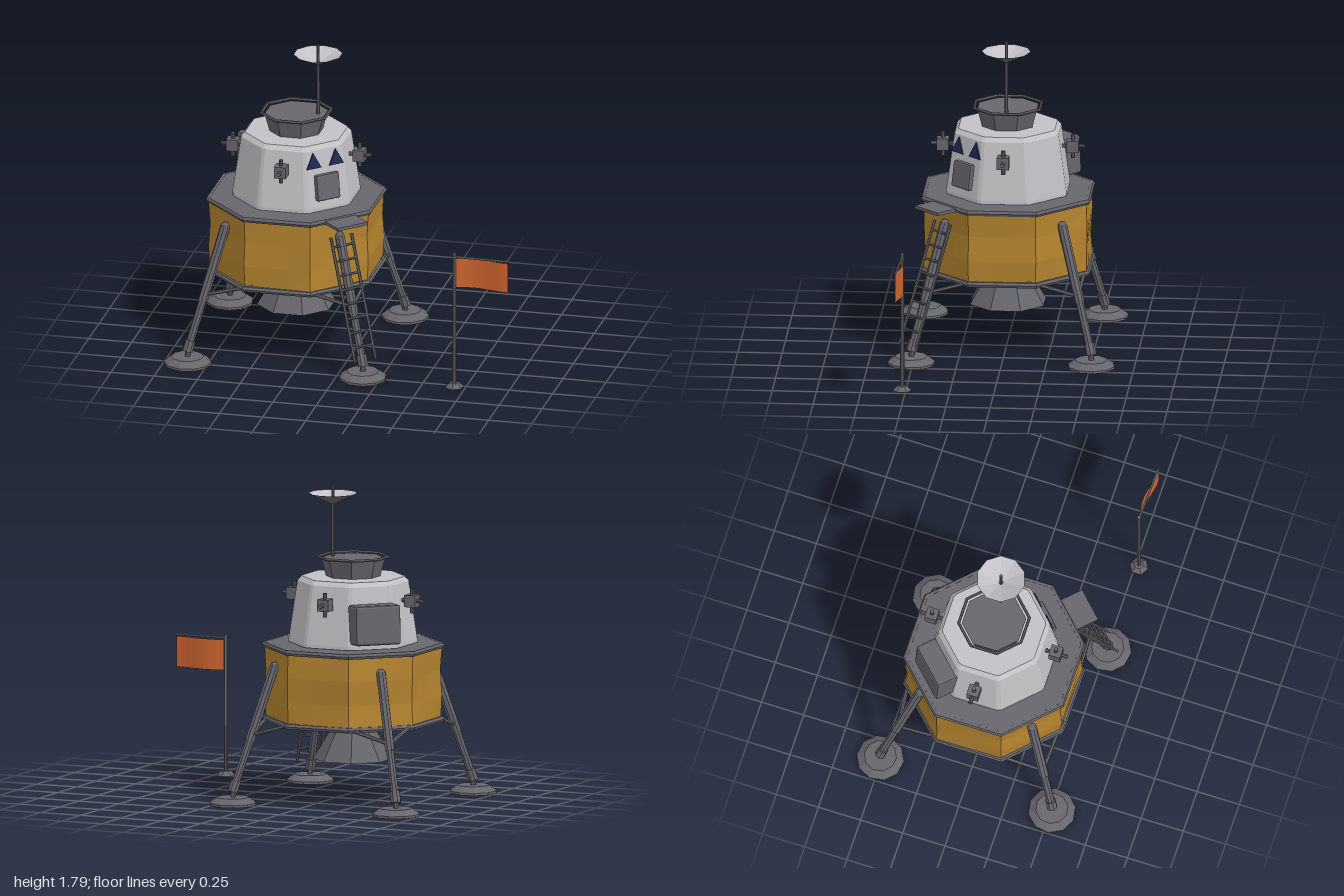
import * as THREE from 'three';
import { RoundedBoxGeometry } from 'three/addons/geometries/RoundedBoxGeometry.js';

const mat = (name, color, side = THREE.FrontSide) => {
  const m = new THREE.MeshStandardMaterial({ color, flatShading: true, side });
  m.name = name;
  return m;
};
const GREY = mat('structure grey', 0x66666d);
const WHITE = mat('cabin light grey', 0xc2c2c6);
const GOLD = mat('gold foil', 0xb5842f);
const NAVY = mat('window navy', 0x1e2a55);
const ORANGE = mat('flag orange', 0xcf6530, THREE.DoubleSide);
const SILVER = mat('pole silver', 0x85888e);
const BELL = mat('engine grey', 0x66666d, THREE.DoubleSide);

const V = (x, y, z) => new THREE.Vector3(x, y, z);
const FLAT = Math.cos(Math.PI / 8); // apothem / radius of an octagon

function add(parent, name, geo, material, x = 0, y = 0, z = 0) {
  const m = new THREE.Mesh(geo, material);
  m.name = name;
  m.position.set(x, y, z);
  parent.add(m);
  return m;
}

// Round bar between two points
function bar(parent, name, a, b, r0, material = GREY, r1 = r0, sides = 8) {
  const d = b.clone().sub(a);
  const m = add(parent, name, new THREE.CylinderGeometry(r1, r0, d.length(), sides), material);
  m.position.copy(a).addScaledVector(d, 0.5);
  m.quaternion.setFromUnitVectors(V(0, 1, 0), d.normalize());
  return m;
}

// Octagonal prism or frustum with flat sides facing the axes
function octagon(rBottom, rTop, y0, y1, open = false) {
  return new THREE.CylinderGeometry(rTop, rBottom, y1 - y0, 8, 1, open)
    .rotateY(Math.PI / 8).translate(0, (y0 + y1) / 2, 0);
}

// Thin octagonal rim
function rim(parent, name, r, tube, y) {
  const g = new THREE.TorusGeometry(r, tube, 6, 8).rotateX(Math.PI / 2).rotateY(Math.PI / 8);
  return add(parent, name, g, GREY, 0, y, 0);
}

// Group whose local +z points outward at the given angle
function outward(parent, name, angle) {
  const g = new THREE.Group();
  g.name = name;
  g.rotation.y = angle;
  parent.add(g);
  return g;
}

// Crinkled foil skin on an octagonal plan
function foilSkin() {
  const g = new THREE.CylinderGeometry(1, 1, 0.42, 24, 3, true);
  const p = g.attributes.position;
  for (let i = 0; i < p.count; i++) {
    const col = (i % 25) % 24, row = Math.floor(i / 25);
    const a = col / 24 * Math.PI * 2 + Math.PI / 8;
    const off = (col % 3) * Math.PI / 12 - Math.PI / 8;
    const wobble = Math.sin(col * 12.99 + row * 78.23) * 0.006;
    const r = 0.497 * FLAT / Math.cos(off) + wobble;
    p.setXYZ(i, Math.sin(a) * r, p.getY(i), Math.cos(a) * r);
  }
  return g;
}

// Octagonal cabin with chamfered corners, profile given as [apothem, y]
function cabinShell() {
  const profile = [[0, 0.895], [0.34, 0.895], [0.34, 0.915], [0.294, 1.245], [0.272, 1.27], [0, 1.27]];
  const g = new THREE.LatheGeometry(profile.map(([r, y]) => new THREE.Vector2(r, y)), 16);
  const p = g.attributes.position, delta = 0.035;
  for (let i = 0; i < p.count; i++) {
    const k = Math.floor(i / profile.length) % 16;
    const a = Math.floor(k / 2) * Math.PI / 4 + Math.PI / 8 + (k % 2 ? delta : -delta);
    const r = profile[i % profile.length][0] / Math.cos(Math.PI / 8 - delta);
    p.setXYZ(i, Math.sin(a) * r, p.getY(i), Math.cos(a) * r);
  }
  return g;
}

function buildDescentStage(lander) {
  add(lander, 'foilSkin', foilSkin(), GOLD, 0, 0.665, 0);
  add(lander, 'deck', octagon(0.5, 0.5, 0.865, 0.892), GREY);
  add(lander, 'bottomPlate', octagon(0.495, 0.495, 0.447, 0.472), GREY);
  rim(lander, 'deckRim', 0.5, 0.017, 0.878);
  rim(lander, 'bottomRim', 0.5, 0.017, 0.459);
  add(lander, 'engineBell', octagon(0.225, 0.095, 0.23, 0.45, true), BELL);
}

function buildLeg(lander, angle) {
  const leg = outward(lander, 'leg', angle);
  const top = V(0, 0.775, 0.47), foot = V(0, 0.08, 0.719);
  const at = t => top.clone().lerp(foot, t);
  bar(leg, 'upperStrut', at(0.6), top, 0.028);
  bar(leg, 'lowerStrut', foot, at(0.58), 0.023);
  bar(leg, 'ankle', at(1.01), at(0.92), 0.03);
  add(leg, 'strutCap', new THREE.SphereGeometry(0.028, 8, 6), GREY, 0, 0.775, 0.47);
  bar(leg, 'ankleJoint', V(0, 0.035, 0.719), V(0, 0.09, 0.716), 0.016);
  add(leg, 'footPadRim', new THREE.CylinderGeometry(0.135, 0.135, 0.014, 10), GREY, 0, 0.007, 0.719);
  add(leg, 'footPadTop', new THREE.CylinderGeometry(0.092, 0.135, 0.031, 10), GREY, 0, 0.0295, 0.719);
  // Side braces reaching the bottom rim
  for (const s of [-1, 1]) {
    const h = Math.SQRT1_2;
    const end = V(s * (0.45 - 0.14) * h, 0.478, (0.45 + 0.14) * h);
    bar(leg, 'sideBrace', at(0.55), end, 0.011, GREY, 0.011, 6);
  }
}

function buildLadder(lander) {
  const ladder = outward(lander, 'ladder', Math.PI / 4);
  const top = V(0, 0.785, 0.485), low = V(0, 0.115, 0.745);
  const side = (p, s) => p.clone().setX(s * 0.068);
  for (const s of [-1, 1]) bar(ladder, 'ladderRail', side(low, s), side(top, s), 0.009, GREY, 0.009, 6);
  for (let i = 0; i < 8; i++) {
    const p = top.clone().lerp(low, 0.08 + i * 0.115);
    bar(ladder, 'rung', side(p, -1), side(p, 1), 0.007, GREY, 0.007, 6);
  }
  add(ladder, 'porch', new THREE.BoxGeometry(0.2, 0.018, 0.2), GREY, 0, 0.876, 0.508);
}

function buildCabin(lander) {
  add(lander, 'cabin', cabinShell(), WHITE);
  add(lander, 'dockingCollar', octagon(0.152, 0.182, 1.265, 1.374), GREY);
  rim(lander, 'dockingRim', 0.2, 0.009, 1.38);

  // Front hatch and triangular windows on the sloped wall
  const face = outward(lander, 'cabinFront', Math.PI / 4);
  const wall = new THREE.Group();
  wall.name = 'slopedWall';
  wall.position.set(0, 0.915, 0.34);
  wall.rotation.x = -Math.atan2(0.046, 0.33);
  face.add(wall);
  add(wall, 'hatch', new RoundedBoxGeometry(0.15, 0.15, 0.04, 1, 0.01), GREY, 0, 0.117, 0.008);
  const tri = new THREE.Shape([[-0.047, 0], [0.047, 0], [0, 0.09]].map(([x, y]) => new THREE.Vector2(x, y)));
  for (const s of [-1, 1]) {
    const g = new THREE.ExtrudeGeometry(tri, { depth: 0.009, bevelEnabled: false });
    add(wall, 'window', g, NAVY, s * 0.074, 0.232, 0);
  }

  // Rear equipment box
  const rear = outward(lander, 'rearEquipment', -Math.PI * 3 / 4);
  const box = add(rear, 'equipmentBox', new RoundedBoxGeometry(0.27, 0.225, 0.15, 1, 0.015), GREY, 0, 1.04, 0.355);
  box.rotation.x = -0.05;

  // Thruster clusters on the four main sides
  for (let i = 0; i < 4; i++) {
    const t = outward(lander, 'thrusterCluster', i * Math.PI / 2);
    add(t, 'thrusterBlock', new THREE.BoxGeometry(0.068, 0.068, 0.068), GREY, 0, 1.15, 0.367);
    bar(t, 'verticalNozzles', V(0, 1.08, 0.367), V(0, 1.218, 0.367), 0.012);
    bar(t, 'radialNozzles', V(0, 1.15, 0.29), V(0, 1.15, 0.435), 0.012);
  }

  // Dish antenna
  bar(lander, 'antennaMast', V(0.126, 1.37, 0), V(0.126, 1.79, 0), 0.011, GREY, 0.008);
  const dish = (name, material, y, r, h, flip) => {
    const g = new THREE.CylinderGeometry(r, 0.012, h, 10, 1, true);
    if (flip) g.setIndex(Array.from(g.index.array).reverse());
    add(lander, name, g, material, 0.126, y, 0);
  };
  dish('dishBack', GREY, 1.702, 0.14, 0.062, false);
  dish('dishFace', WHITE, 1.704, 0.139, 0.06, true);
}

function buildFlag(root) {
  const flag = new THREE.Group();
  flag.name = 'flag';
  flag.position.set(0.685, 0, 0.52);
  root.add(flag);
  add(flag, 'flagBase', new THREE.CylinderGeometry(0.028, 0.055, 0.026, 6), GREY, 0, 0.013, 0);
  bar(flag, 'lowerPole', V(0, 0.02, 0), V(0, 0.285, 0), 0.012);
  bar(flag, 'upperPole', V(0, 0.28, 0), V(0, 0.803, 0), 0.009, SILVER);
  bar(flag, 'crossBar', V(0, 0.782, 0), V(0.315, 0.782, 0.012), 0.006, SILVER, 0.006, 6);
  // Cloth with a gentle wave
  const g = new THREE.PlaneGeometry(0.305, 0.175, 10, 1);
  const p = g.attributes.position;
  for (let i = 0; i < p.count; i++) {
    const u = p.getX(i) / 0.305 + 0.5;
    p.setZ(i, -0.016 * Math.sin(u * Math.PI * 1.5));
  }
  add(flag, 'flagCloth', g, ORANGE, 0.1625, 0.685, 0);
}

export function createModel() {
  const root = new THREE.Group();
  root.name = 'lunarLanderScene';
  const lander = new THREE.Group();
  lander.name = 'lander';
  lander.position.x = -0.356;
  root.add(lander);
  buildDescentStage(lander);
  for (let i = 0; i < 4; i++) buildLeg(lander, Math.PI / 4 + i * Math.PI / 2);
  buildLadder(lander);
  buildCabin(lander);
  buildFlag(root);
  return root;
}
